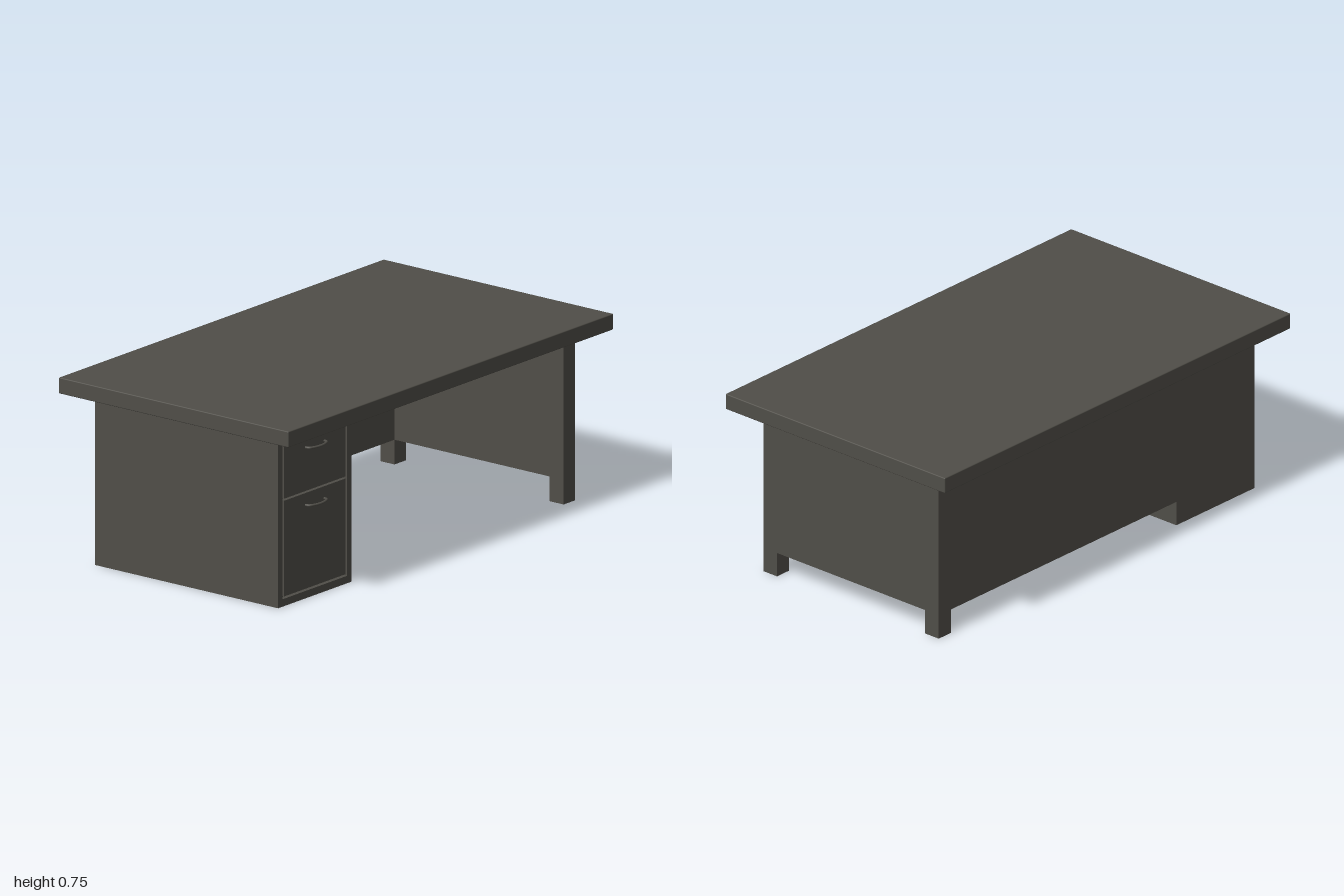
import * as THREE from 'three';
import { RoundedBoxGeometry } from 'three/addons/geometries/RoundedBoxGeometry.js';

const material = new THREE.MeshStandardMaterial({ color: 0x504e48 });

function add(parent, name, geometry) {
  const mesh = new THREE.Mesh(geometry, material);
  mesh.name = name;
  parent.add(mesh);
  return mesh;
}

// Box given by its limits on each axis
function box(parent, name, [x0, x1], [y0, y1], [z0, z1], radius = 0) {
  const size = [x1 - x0, y1 - y0, z1 - z0];
  const geometry = radius
    ? new RoundedBoxGeometry(...size, 2, radius)
    : new THREE.BoxGeometry(...size);
  const mesh = add(parent, name, geometry);
  mesh.position.set((x0 + x1) / 2, (y0 + y1) / 2, (z0 + z1) / 2);
  return mesh;
}

const points = (list) => list.map(([x, y]) => new THREE.Vector2(x, y));

export function createModel() {
  const desk = new THREE.Group();
  desk.name = 'desk';

  const side = 0.455; // half depth of the base
  const under = 0.69; // underside of the top
  const thick = 0.07; // panel thickness
  const gap = 0.1; // clearance under the panels

  box(desk, 'desktop', [-0.57, 0.57], [under, 0.755], [-1, 1], 0.004);

  // End panel with a cut-out that leaves two feet
  const endShape = new THREE.Shape(points([
    [-side, 0], [-side + thick, 0], [-side + thick, gap], [side - thick, gap],
    [side - thick, 0], [side, 0], [side, under], [-side, under],
  ]));
  const endPanel = add(desk, 'endPanel',
    new THREE.ExtrudeGeometry(endShape, { depth: thick, bevelEnabled: false }));
  endPanel.position.z = -0.907;

  // Long panel joining the end panel to the pedestal
  box(desk, 'modestyPanel', [-side, -side + thick], [gap, under], [-0.837, 0.467]);

  // Pedestal body with a face frame around the drawers
  const pedestal = new THREE.Group();
  pedestal.name = 'pedestal';
  desk.add(pedestal);
  const recess = 0.02;
  box(pedestal, 'pedestalBody', [-side, side - recess], [0, under], [0.467, 0.92]);

  const frame = new THREE.Shape(points([[-0.92, 0], [-0.467, 0], [-0.467, under], [-0.92, under]]));
  frame.holes.push(new THREE.Path(points([
    [-0.892, 0.03], [-0.892, 0.66], [-0.495, 0.66], [-0.495, 0.03],
  ])));
  const frameMesh = add(pedestal, 'faceFrame',
    new THREE.ExtrudeGeometry(frame, { depth: recess, bevelEnabled: false }));
  frameMesh.rotation.y = Math.PI / 2;
  frameMesh.position.x = side - recess;

  // Drawers with bowed pulls
  for (const [name, y0, y1, pullY] of [
    ['upperDrawer', 0.434, 0.651, 0.61],
    ['lowerDrawer', 0.039, 0.426, 0.377],
  ]) {
    const drawer = new THREE.Group();
    drawer.name = name;
    pedestal.add(drawer);
    box(drawer, name + 'Front', [side - recess, side], [y0, y1], [0.504, 0.883]);

    const path = new THREE.CatmullRomCurve3([
      [0.45, 0.635], [0.469, 0.639], [0.48, 0.66], [0.485, 0.693],
      [0.48, 0.726], [0.469, 0.747], [0.45, 0.751],
    ].map(([x, z]) => new THREE.Vector3(x, pullY, z)));
    add(drawer, name + 'Handle', new THREE.TubeGeometry(path, 32, 0.005, 10));
  }

  return desk;
}
